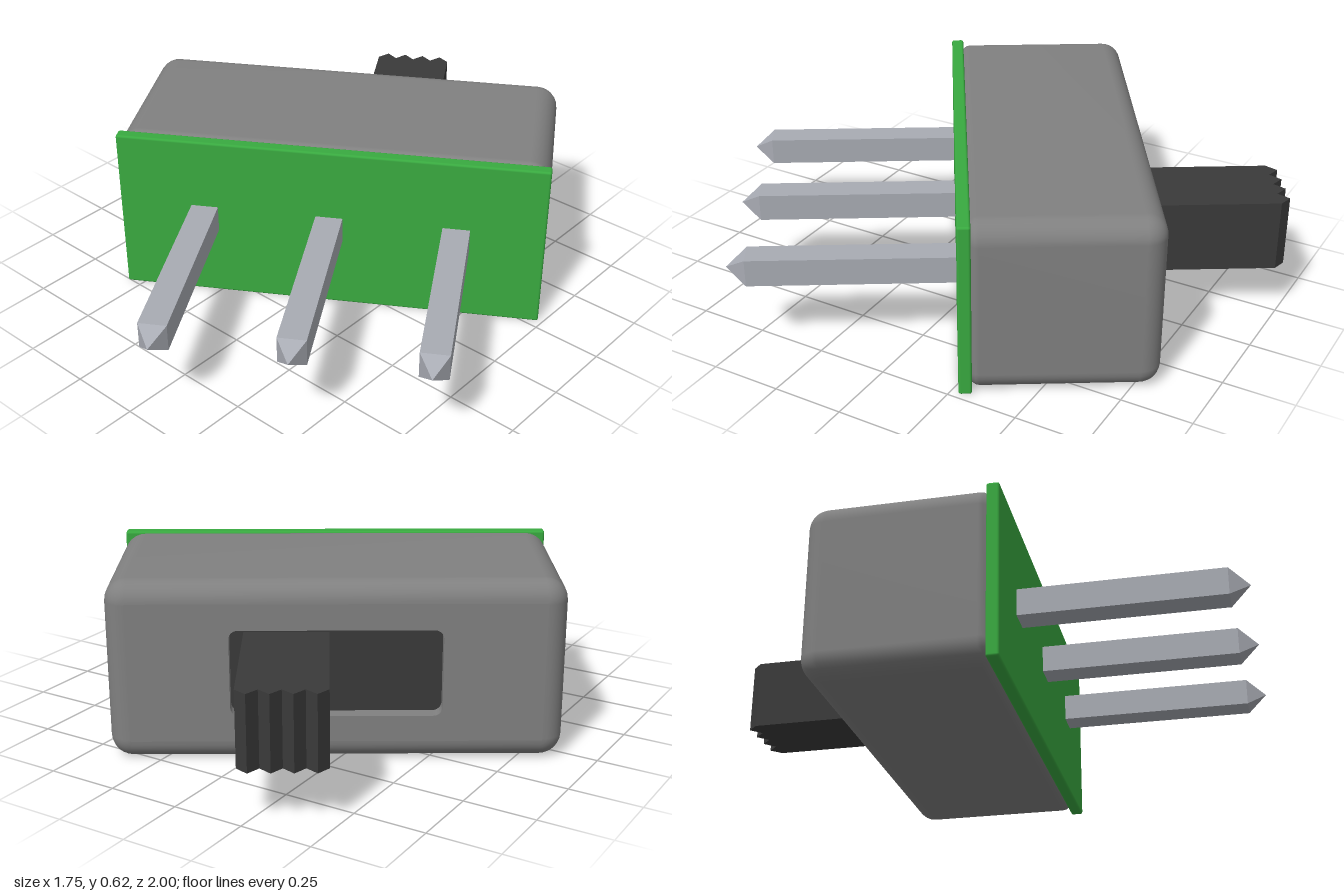
import * as THREE from 'three';
import { RoundedBoxGeometry } from 'three/addons/geometries/RoundedBoxGeometry.js';

const W = 1.51, H = 0.62;   // board and housing face size
const BACK = -0.515, RIM = 0.1, BOARD_FRONT = 0.144;
const CORNER = 0.075, BEVEL = 0.07;

function add(parent, name, geometry, color, flat = false) {
  const material = new THREE.MeshStandardMaterial({ color, flatShading: flat });
  const mesh = new THREE.Mesh(geometry, material);
  mesh.name = name;
  parent.add(mesh);
  return mesh;
}

// Counter-clockwise rounded rectangle, as points
function roundedRect(w, h, r, inset = 0, n = 6) {
  const pts = [];
  const signs = [[1, 1], [-1, 1], [-1, -1], [1, -1]];
  signs.forEach(([sx, sy], q) => {
    for (let i = 0; i <= n; i++) {
      const a = (q + i / n) * Math.PI / 2;
      pts.push(new THREE.Vector2(
        sx * (w / 2 - r) + (r - inset) * Math.cos(a),
        sy * (h / 2 - r) + (r - inset) * Math.sin(a)));
    }
  });
  return pts;
}

// Housing walls: rounded rectangles lofted from the rim to the rounded back edge
function housingWalls() {
  const rings = [[0.012, RIM], [0.003, RIM - 0.012], [0, RIM - 0.025]];
  for (let i = 0; i <= 8; i++) {
    const a = i / 8 * Math.PI / 2;
    rings.push([BEVEL * (1 - Math.cos(a)), BACK + BEVEL * (1 - Math.sin(a))]);
  }
  const pos = [], index = [];
  let n = 0;
  for (const [inset, z] of rings) {
    const pts = roundedRect(W, H, CORNER, inset);
    n = pts.length;
    pts.forEach(p => pos.push(p.x, p.y, z));
  }
  for (let k = 0; k < rings.length - 1; k++) {
    for (let i = 0; i < n; i++) {
      const j = (i + 1) % n;
      const a = k * n + i, b = k * n + j, c = a + n, d = b + n;
      index.push(a, c, b, b, c, d);
    }
  }
  const g = new THREE.BufferGeometry();
  g.setAttribute('position', new THREE.Float32BufferAttribute(pos, 3));
  g.setIndex(index);
  g.computeVertexNormals();
  return g;
}

export function createModel() {
  const model = new THREE.Group();
  model.name = 'slideSwitch';
  const body = new THREE.Group();
  body.name = 'switchBody';
  const turn = 0.5515;
  body.rotation.y = turn;
  body.position.set(0.019 * Math.cos(turn), H / 2, -0.019 * Math.sin(turn));
  model.add(body);

  // Circuit board
  const board = add(body, 'board',
    new RoundedBoxGeometry(W, H, BOARD_FRONT - RIM, 2, 0.008), 0x39aa40);
  board.position.z = (RIM + BOARD_FRONT) / 2;

  // Housing: walls, back face with slot, slot lining
  const grey = 0x808080;
  const slot = roundedRect(0.7, 0.3, 0.03);
  add(body, 'housingWalls', housingWalls(), grey);
  const face = new THREE.Shape(roundedRect(W, H, CORNER, BEVEL));
  face.holes.push(new THREE.Path(slot));
  const back = add(body, 'housingBack', new THREE.ShapeGeometry(face), grey);
  back.rotation.y = Math.PI;
  back.position.z = BACK;

  const lining = new THREE.Shape(roundedRect(0.76, 0.36, 0.05));
  lining.holes.push(new THREE.Path(slot));
  const lip = add(body, 'slotLining', new THREE.ExtrudeGeometry(lining,
    { depth: 0.05, bevelEnabled: false }), grey);
  lip.position.z = BACK + 0.001;

  // Dark slider plate behind the slot
  const plate = add(body, 'sliderPlate', new THREE.BoxGeometry(1.2, 0.46, 0.12), 0x3a3a3a);
  plate.position.z = BACK + 0.11;

  // Slider knob with four ridges on its end, drawn in x and z
  const x0 = 0.022, x1 = 0.304, tip = -0.963, teeth = 4;
  const knob = new THREE.Shape();
  knob.moveTo(x0, BACK + 0.08);
  for (let i = 0; i <= teeth * 2; i++) {
    knob.lineTo(x0 + (x1 - x0) * i / (teeth * 2), tip - (i % 2) * 0.036);
  }
  knob.lineTo(x1, BACK + 0.08);
  const knobHeight = 0.255;
  const knobGeo = new THREE.ExtrudeGeometry(knob, { depth: knobHeight, bevelEnabled: false });
  knobGeo.rotateX(Math.PI / 2);
  knobGeo.translate(0, knobHeight / 2, 0);
  add(body, 'sliderKnob', knobGeo, 0x3a3a3a, true);

  // Three square pins with pyramid points
  const pinW = 0.096, shoulder = 0.837, point = 0.905;
  for (const i of [-1, 0, 1]) {
    const pin = new THREE.Group();
    pin.name = 'pin';
    pin.position.set(i * 0.447, 0.003, 0);
    body.add(pin);
    const start = RIM + 0.01;
    const shaft = add(pin, 'pinShaft',
      new THREE.BoxGeometry(pinW, pinW, shoulder - start), 0xa8abb3);
    shaft.position.z = (start + shoulder) / 2;
    const cone = new THREE.ConeGeometry(pinW / Math.SQRT2, point - shoulder, 4, 1, true);
    cone.rotateY(Math.PI / 4);
    cone.rotateX(Math.PI / 2);
    const end = add(pin, 'pinPoint', cone, 0xa8abb3, true);
    end.position.z = (shoulder + point) / 2;
  }
  return model;
}
